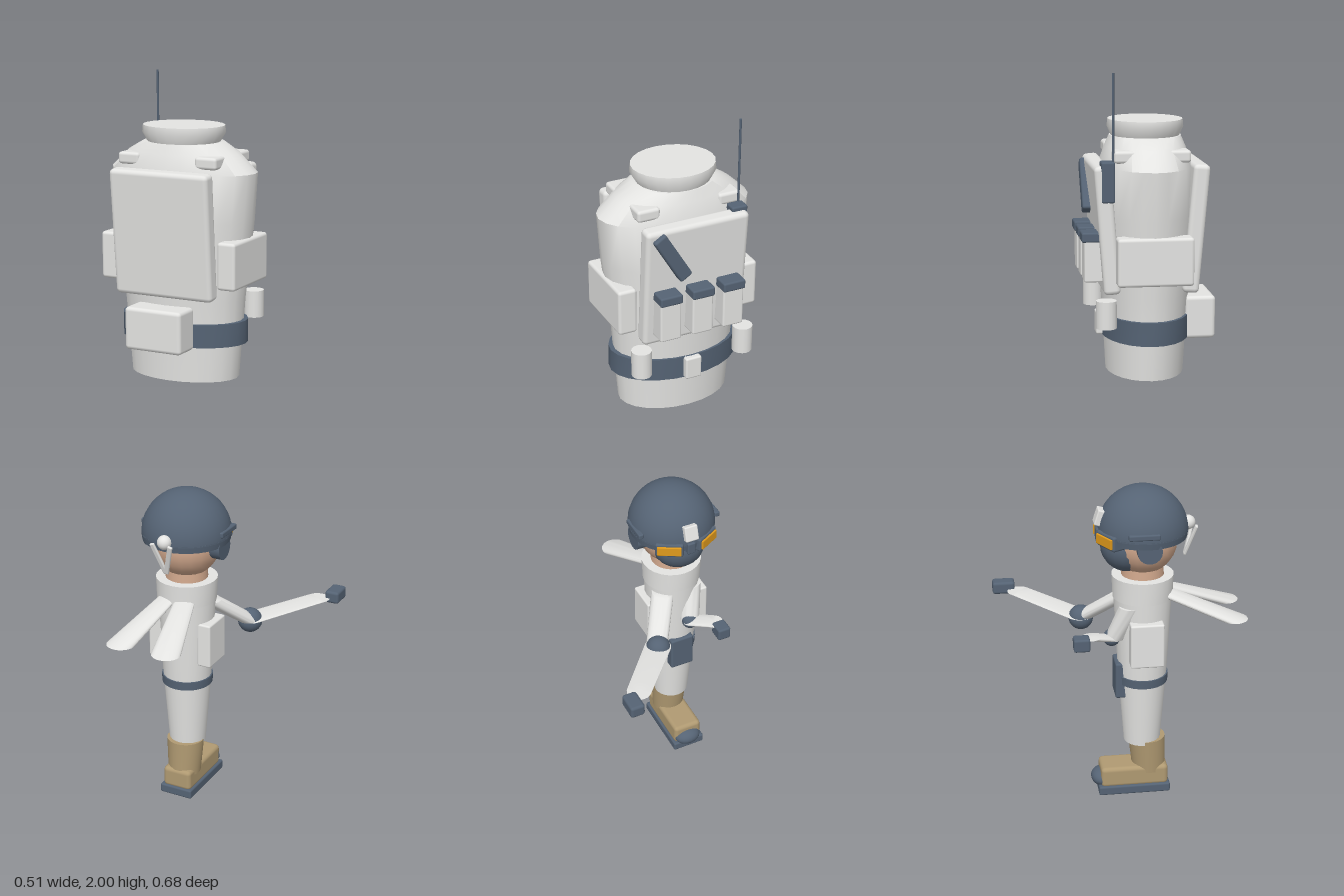
import * as THREE from 'three';
import { toCreasedNormals } from 'three/addons/utils/BufferGeometryUtils.js';
import { RoundedBoxGeometry } from 'three/addons/geometries/RoundedBoxGeometry.js';

const mat = (name, color) => {
  const m = new THREE.MeshStandardMaterial({ color });
  m.name = name;
  return m;
};

export function createModel() {
  const light = mat('pale cloth', 0xe4e4e2);
  const dark = mat('slate gear', 0x556374);
  const skin = mat('skin', 0xd0a78c);
  const tan = mat('tan boot', 0xb09a72);
  const amber = mat('amber lens', 0xe09a1c);
  const root = new THREE.Group();
  root.name = 'trooper';
  const CX = -0.058, CZ = 0.055;

  const add = (name, geo, material, x = 0, y = 0, z = 0, parent = root) => {
    const m = new THREE.Mesh(geo, material);
    m.name = name;
    m.position.set(x, y, z);
    parent.add(m);
    return m;
  };
  // box given by its limits on each axis
  const box = (name, material, [x0, x1], [y0, y1], [z0, z1], r = 0.006, parent = root) =>
    add(name, new RoundedBoxGeometry(x1 - x0, y1 - y0, z1 - z0, 2, r), material,
      (x0 + x1) / 2, (y0 + y1) / 2, (z0 + z1) / 2, parent);
  // stack of horizontal ellipses, top first: [y, x, z, rx, rz]
  const loft = (name, material, rings, parent = root, seg = 24) => {
    const g = new THREE.CylinderGeometry(1, 1, 1, seg, rings.length - 1);
    const p = g.attributes.position;
    for (let i = 0; i < p.count; i++) {
      const [y, x, z, rx, rz] = rings[Math.round((0.5 - p.getY(i)) * (rings.length - 1))];
      p.setXYZ(i, x + p.getX(i) * rx, y, z + p.getZ(i) * rz);
    }
    return add(name, toCreasedNormals(g, 0.75), material, 0, 0, 0, parent);
  };
  const centred = (rows) => rows.map(([y, rx, rz = rx]) => [y, CX, CZ, rx, rz]);
  const ball = (name, material, r, x, y, z, parent = root) =>
    add(name, new THREE.SphereGeometry(r, 20, 14), material, x, y, z, parent);

  // ---------- raised vest section ----------
  const vest = new THREE.Group();
  vest.name = 'vestSection';
  root.add(vest);
  loft('vestBody', light, centred([
    [1.84, 0.105, 0.09], [1.815, 0.15, 0.1], [1.77, 0.199, 0.115], [1.65, 0.19, 0.123],
    [1.45, 0.166, 0.112], [1.395, 0.162, 0.108], [1.24, 0.15, 0.1]]), vest);
  loft('neckRing', light, centred([
    [1.88, 0.106, 0.094], [1.862, 0.108, 0.096], [1.83, 0.088, 0.082]]), vest);
  loft('waistBelt', dark, centred([[1.395, 0.174, 0.113], [1.335, 0.174, 0.113]]), vest);
  box('beltBuckle', light, [CX - 0.022, CX + 0.022], [1.335, 1.395], [-0.072, -0.045], 0.005, vest);

  const rearPlate = box('rearPlate', light, [-0.196, 0.079], [1.46, 1.78], [0.145, 0.187], 0.012, vest);
  rearPlate.rotation.x = 0.08;
  const chestPlate = box('chestPlate', light, [-0.196, 0.079], [1.46, 1.78], [-0.077, -0.035], 0.012, vest);
  chestPlate.rotation.x = -0.08;
  box('lowPouch', light, [-0.14, 0.02], [1.33, 1.44], [0.15, 0.228], 0.01, vest);

  for (const s of [-1, 1]) {
    const sx = CX + s * 0.108, px = CX + s * 0.166;
    box('shoulderStrap', light, [sx - 0.03, sx + 0.03], [1.785, 1.815], [-0.04, 0.15], 0.008, vest);
    box('sidePouch', light, [px - 0.025, px + 0.025], [1.49, 1.61], [-0.038, 0.152], 0.008, vest);
    add('canister', new THREE.CylinderGeometry(0.026, 0.026, 0.07, 16), light,
      CX + s * 0.142, 1.415, -0.061, vest);
  }
  // three chest pouches with dark lids
  for (const x of [-0.144, -0.06, 0.027]) {
    box('chestPouch', light, [x - 0.028, x + 0.028], [1.49, 1.6], [-0.112, -0.04], 0.005, vest);
    box('pouchLid', dark, [x - 0.03, x + 0.03], [1.59, 1.615], [-0.118, -0.04], 0.005, vest);
  }
  const tool = box('sheathedTool', dark, [-0.004, 0.032], [1.635, 1.775], [-0.1, -0.065], 0.006, vest);
  tool.rotation.z = -0.55;
  box('radio', dark, [-0.198, -0.156], [1.69, 1.79], [-0.072, -0.038], 0.005, vest);
  add('antenna', new THREE.CylinderGeometry(0.003, 0.003, 0.22, 8), dark, -0.187, 1.89, -0.042, vest);

  // ---------- standing figure ----------
  const figure = new THREE.Group();
  figure.name = 'figure';
  root.add(figure);
  loft('torsoAndLeg', light, centred([
    [0.6, 0.081], [0.36, 0.068], [0.335, 0.066], [0.15, 0.051]]), figure);
  loft('collar', light, centred([[0.655, 0.086], [0.59, 0.083]]), figure);
  loft('hipBelt', dark, centred([[0.36, 0.072], [0.336, 0.071]]), figure);
  for (const s of [-1, 1]) {
    const x = CX + s * 0.076;
    box('hipPouch', light, [x - 0.02, x + 0.02], [0.412, 0.538], [0.01, 0.103], 0.005, figure);
  }
  box('thighPouch', dark, [CX - 0.036, CX + 0.036], [0.295, 0.4], [-0.024, 0.012], 0.006, figure);

  // boot
  loft('bootShaft', tan, [[0.16, CX, 0.068, 0.053, 0.052], [0.06, CX, 0.075, 0.046, 0.047]], figure);
  box('bootFoot', tan, [-0.102, -0.016], [0.02, 0.08], [-0.065, 0.125], 0.012, figure);
  box('bootSole', dark, [-0.108, -0.01], [0, 0.026], [-0.072, 0.13], 0.005, figure);
  const toe = ball('toeCap', dark, 0.04, CX, 0.038, -0.06, figure);
  toe.scale.set(1, 0.6, 0.75);

  // two scarf tails trailing behind
  loft('scarfTail', light, [[0.612, -0.08, 0.1, 0.027, 0.034], [0.535, -0.127, 0.298, 0.04, 0.039]], figure);
  loft('scarfTail', light, [[0.612, -0.036, 0.1, 0.027, 0.034], [0.535, 0.01, 0.298, 0.04, 0.039]], figure);

  // left arm, reaching out with a handset
  loft('leftUpperArm', light, [[0.575, -0.01, 0.012, 0.032, 0.035], [0.485, 0.06, -0.095, 0.03, 0.032]], figure);
  ball('leftElbow', dark, 0.035, 0.06, 0.48, -0.103, figure);
  loft('leftForearm', light, [[0.51, 0.197, -0.267, 0.034, 0.034], [0.485, 0.062, -0.105, 0.038, 0.038]], figure);
  box('leftHand', dark, [0.213, 0.255], [0.495, 0.531], [-0.342, -0.278], 0.008, figure);

  // right arm, folded across the front
  loft('rightUpperArm', light, [[0.575, -0.1, 0.02, 0.032, 0.035], [0.475, -0.08, -0.025, 0.028, 0.028]], figure);
  ball('rightElbow', dark, 0.024, -0.076, 0.475, -0.033, figure);
  loft('rightForearm', light, [[0.5, -0.122, -0.095, 0.027, 0.027], [0.475, -0.08, -0.035, 0.028, 0.028]], figure);
  box('rightHand', dark, [-0.151, -0.112], [0.468, 0.505], [-0.145, -0.1], 0.006, figure);

  // ---------- head ----------
  const head = new THREE.Group();
  head.name = 'head';
  root.add(head);
  loft('neck', skin, centred([[0.7, 0.055], [0.645, 0.06]]), head);
  ball('skull', skin, 0.095, CX, 0.755, CZ, head);
  const mask = ball('faceMask', dark, 0.074, CX, 0.742, 0.012, head);
  mask.scale.set(1.05, 1, 1);

  // helmet shell closed underneath, with a thin brim
  const R = 0.124;
  add('helmetShell', new THREE.SphereGeometry(R, 32, 12, 0, Math.PI * 2, 0, Math.PI / 2), dark, CX, 0.785, CZ, head);
  loft('helmetRim', dark, centred([[0.788, R], [0.768, R - 0.003]]), head, 32);
  for (const s of [-1, 1]) {
    const cup = add('earCup', new THREE.CylinderGeometry(0.034, 0.034, 0.03, 18), dark,
      CX + s * 0.103, 0.76, 0.058, head);
    cup.rotation.z = Math.PI / 2;
    const rx = CX + s * 0.118;
    box('helmetRail', dark, [rx - 0.008, rx + 0.008], [0.796, 0.812], [0.0, 0.085], 0.004, head);
    // goggle lenses wrapped round the brow
    const pivot = new THREE.Group();
    pivot.name = 'goggleSide';
    pivot.position.set(CX, 0, CZ);
    pivot.rotation.y = -s * 0.5;
    head.add(pivot);
    box('goggleFrame', dark, [-0.04, 0.04], [0.755, 0.797], [-0.127, -0.085], 0.006, pivot);
    box('goggleLens', amber, [-0.034, 0.034], [0.762, 0.79], [-0.132, -0.124], 0.002, pivot);
    // hanging knot ends
    const end = box('knotEnd', light, [CX + s * 0.014 - 0.007, CX + s * 0.014 + 0.007],
      [0.7, 0.8], [0.181, 0.189], 0.003, head);
    end.rotation.set(0.3, 0, -s * 0.28);
  }
  box('goggleBridge', dark, [CX - 0.012, CX + 0.012], [0.758, 0.794], [-0.075, -0.04], 0.004, head);
  const mount = box('helmetMount', light, [CX - 0.02, CX + 0.02], [0.803, 0.848], [-0.075, -0.052], 0.004, head);
  mount.rotation.x = 0.3;
  ball('knot', light, 0.02, CX, 0.797, 0.18, head);

  return root;
}
